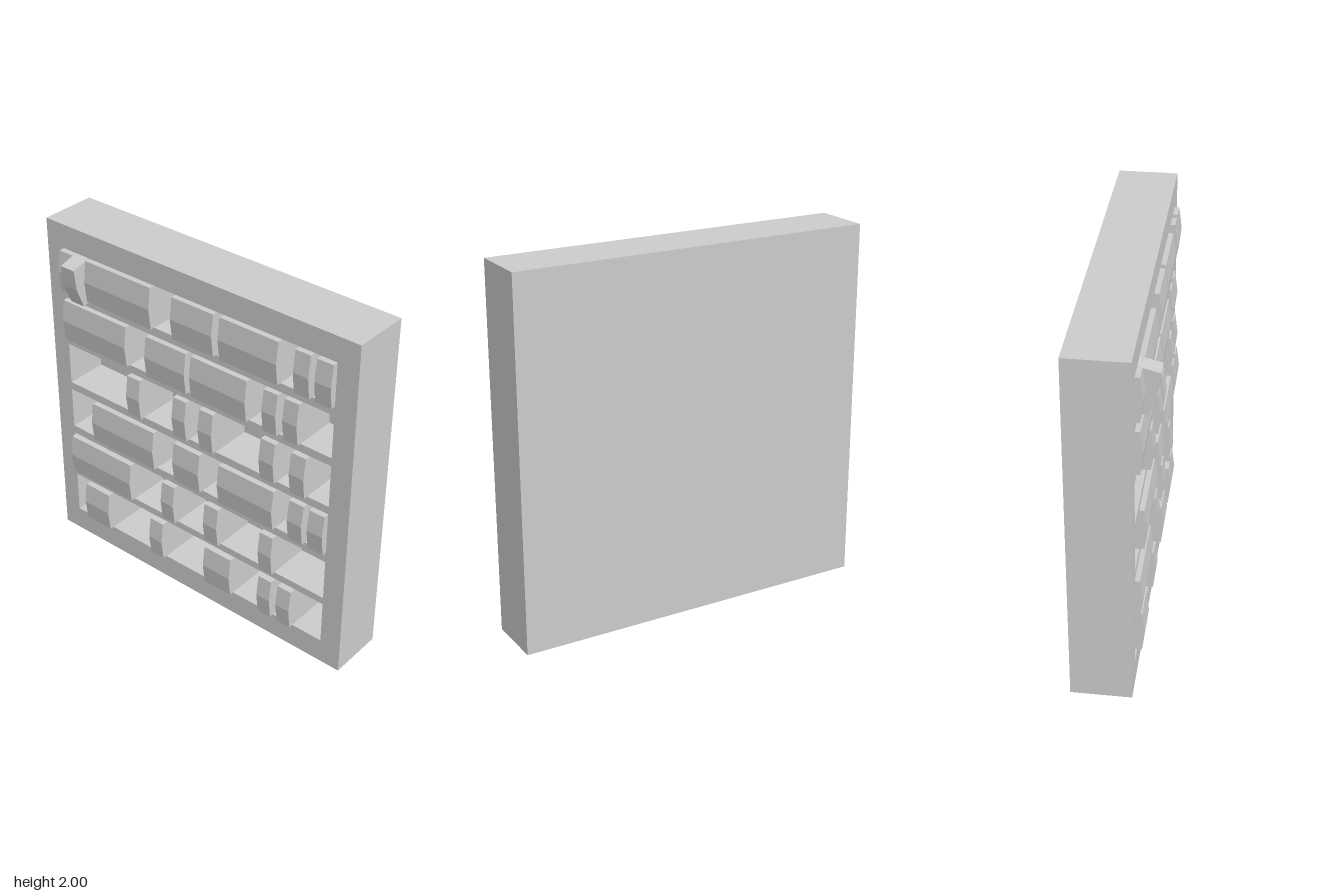
import * as THREE from 'three';

const FRONT = 0.105, BACK = -0.215, CAVITY = 0.24;
const LEFT_EDGE = -0.89, RIGHT_EDGE = 0.877;
const BOOK_H = 0.24, BOOK_W = 0.09;

// each shelf: floor height, opening height and the runs of books [from x, to x]
const SHELVES = [
  { y: 1.617, h: 0.245, runs: [[-0.89, -0.8], [-0.705, -0.345], [-0.345, -0.257], [-0.113, 0.155], [0.195, 0.555], [0.655, 0.745], [0.78, 0.875]] },
  { y: 1.322, h: 0.245, runs: [[-0.885, -0.435], [-0.295, -0.025], [0.01, 0.1], [0.1, 0.37], [0.475, 0.56], [0.603, 0.69]] },
  { y: 1.028, h: 0.247, runs: [[-0.435, -0.345], [-0.113, -0.025], [0.065, 0.155], [0.465, 0.555], [0.655, 0.745]] },
  { y: 0.735, h: 0.247, runs: [[-0.705, -0.257], [-0.113, 0.065], [0.195, 0.555], [0.655, 0.745], [0.78, 0.875]] },
  { y: 0.437, h: 0.25, runs: [[-0.885, -0.435], [-0.203, -0.115], [0.1, 0.193], [0.475, 0.56]] },
  { y: 0.142, h: 0.253, runs: [[-0.793, -0.613], [-0.295, -0.203], [0.1, 0.283], [0.475, 0.56], [0.603, 0.69]] },
];

const material = new THREE.MeshStandardMaterial({ color: 0xcccccc, flatShading: true });

function rectangle(Type, x0, y0, x1, y1) {
  const r = new Type();
  r.moveTo(x0, y0);
  r.lineTo(x1, y0);
  r.lineTo(x1, y1);
  r.lineTo(x0, y1);
  r.closePath();
  return r;
}

// side profile with a bulging spine; origin at the lower front corner
function bookGeometry(width) {
  const depth = 0.262;
  const profile = new THREE.Shape([
    [-depth, 0], [0, 0], [0.015, BOOK_H / 2], [0, BOOK_H], [-depth, BOOK_H],
  ].map(([z, y]) => new THREE.Vector2(z, y)));
  const geometry = new THREE.ExtrudeGeometry(profile, { depth: width, bevelEnabled: false });
  geometry.translate(0, 0, -width / 2);
  geometry.rotateY(-Math.PI / 2);
  return geometry;
}

function makeBook(name, x, y, z, width) {
  const book = new THREE.Mesh(bookGeometry(width), material);
  book.name = name;
  book.position.set(x, y, z);
  return book;
}

export function createModel() {
  const model = new THREE.Group();
  model.name = 'bookcase';

  // case front with one opening per shelf
  const face = rectangle(THREE.Shape, -1, 0, 1, 2);
  for (const { y, h } of SHELVES) {
    face.holes.push(rectangle(THREE.Path, LEFT_EDGE, y, RIGHT_EDGE, y + h));
  }
  const frame = new THREE.Mesh(
    new THREE.ExtrudeGeometry(face, { depth: CAVITY, bevelEnabled: false }), material);
  frame.name = 'caseFrame';
  frame.position.z = FRONT - CAVITY;
  model.add(frame);

  // solid back closing the openings
  const backDepth = FRONT - CAVITY - BACK;
  const back = new THREE.Mesh(new THREE.BoxGeometry(2, 2, backDepth), material);
  back.name = 'backPanel';
  back.position.set(0, 1, BACK + backDepth / 2);
  model.add(back);

  // rows of upright books
  SHELVES.forEach(({ y, runs }, row) => {
    const shelf = new THREE.Group();
    shelf.name = `bookRow${row + 1}`;
    for (const [x0, x1] of runs) {
      const count = Math.max(1, Math.round((x1 - x0) / BOOK_W));
      const width = (x1 - x0) / count;
      for (let i = 0; i < count; i++) {
        shelf.add(makeBook('book', x0 + (i + 0.5) * width, y, 0.13, width));
      }
    }
    model.add(shelf);
  });

  // one book on the top shelf tipped forward
  const tipped = makeBook('tippedBook', -0.752, 1.598, 0.155, 0.093);
  tipped.rotation.x = 0.255;
  model.add(tipped);

  return model;
}
